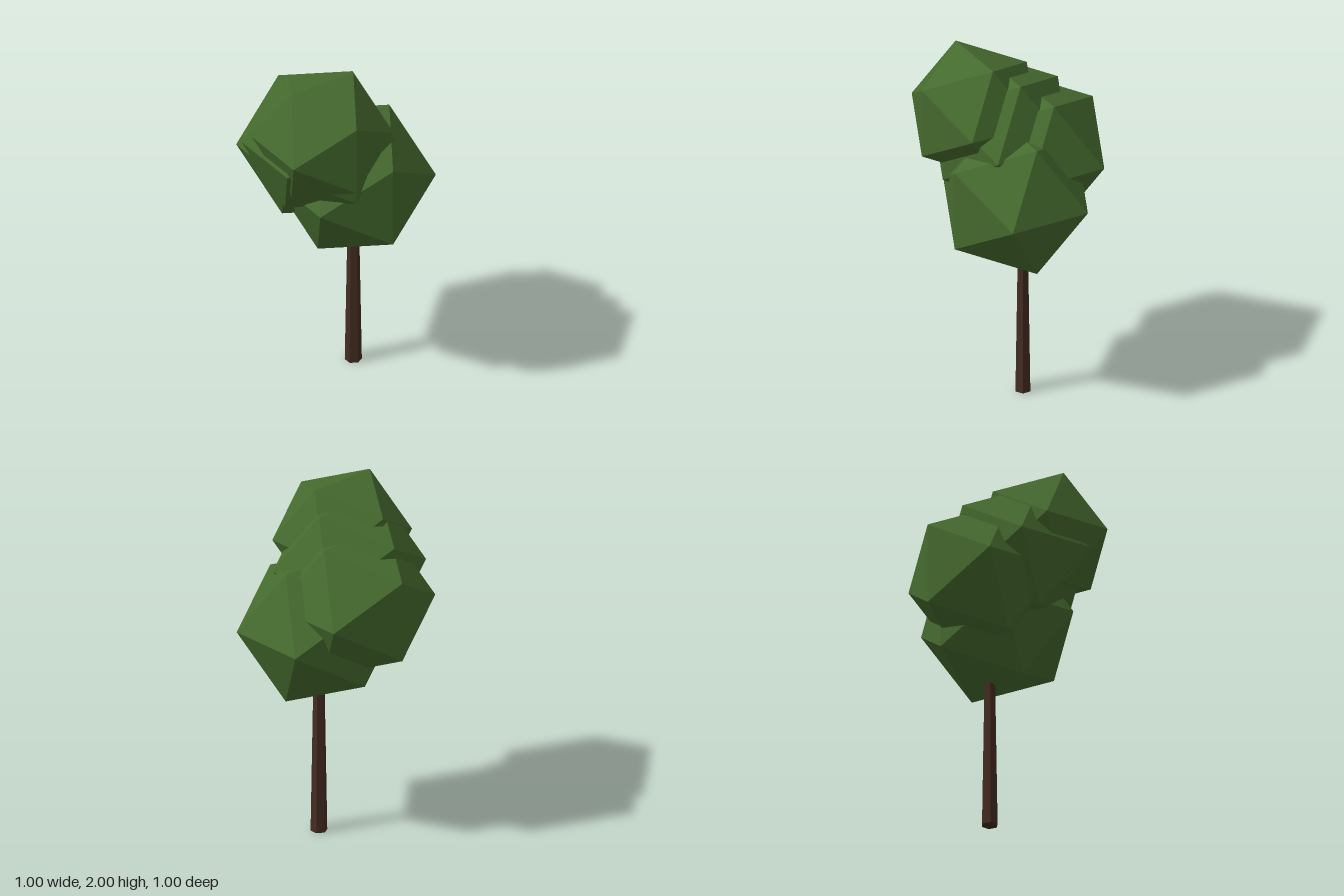
import * as THREE from 'three';

const leafGreen = new THREE.MeshStandardMaterial({ color: 0x466b2f, flatShading: true });
leafGreen.name = 'leaf green';
const barkBrown = new THREE.MeshStandardMaterial({ color: 0x452d22, flatShading: true });
barkBrown.name = 'bark brown';

export function createModel() {
  const tree = new THREE.Group();
  tree.name = 'tree';

  // Six-sided tapering trunk, its top buried in the lowest leaf clump
  const height = 1.2;
  const trunk = new THREE.Mesh(new THREE.CylinderGeometry(0.027, 0.0475, height, 6), barkBrown);
  trunk.name = 'trunk';
  trunk.position.set(0.135, height / 2, 0.028);
  tree.add(trunk);

  // Overlapping leaf clumps: name, centre, radius
  const clumps = [
    ['lowerLeafClump', [0.113, 1.23, 0.063], 0.456],
    ['backLeafClump', [-0.007, 1.405, -0.117], 0.45],
    ['middleLeafClump', [-0.102, 1.541, 0.036], 0.432],
    ['topLeafClump', [-0.166, 1.665, 0.165], 0.394],
  ];
  for (const [name, centre, radius] of clumps) {
    const clump = new THREE.Mesh(new THREE.IcosahedronGeometry(radius, 0), leafGreen);
    clump.name = name;
    clump.position.set(...centre);
    tree.add(clump);
  }
  return tree;
}
